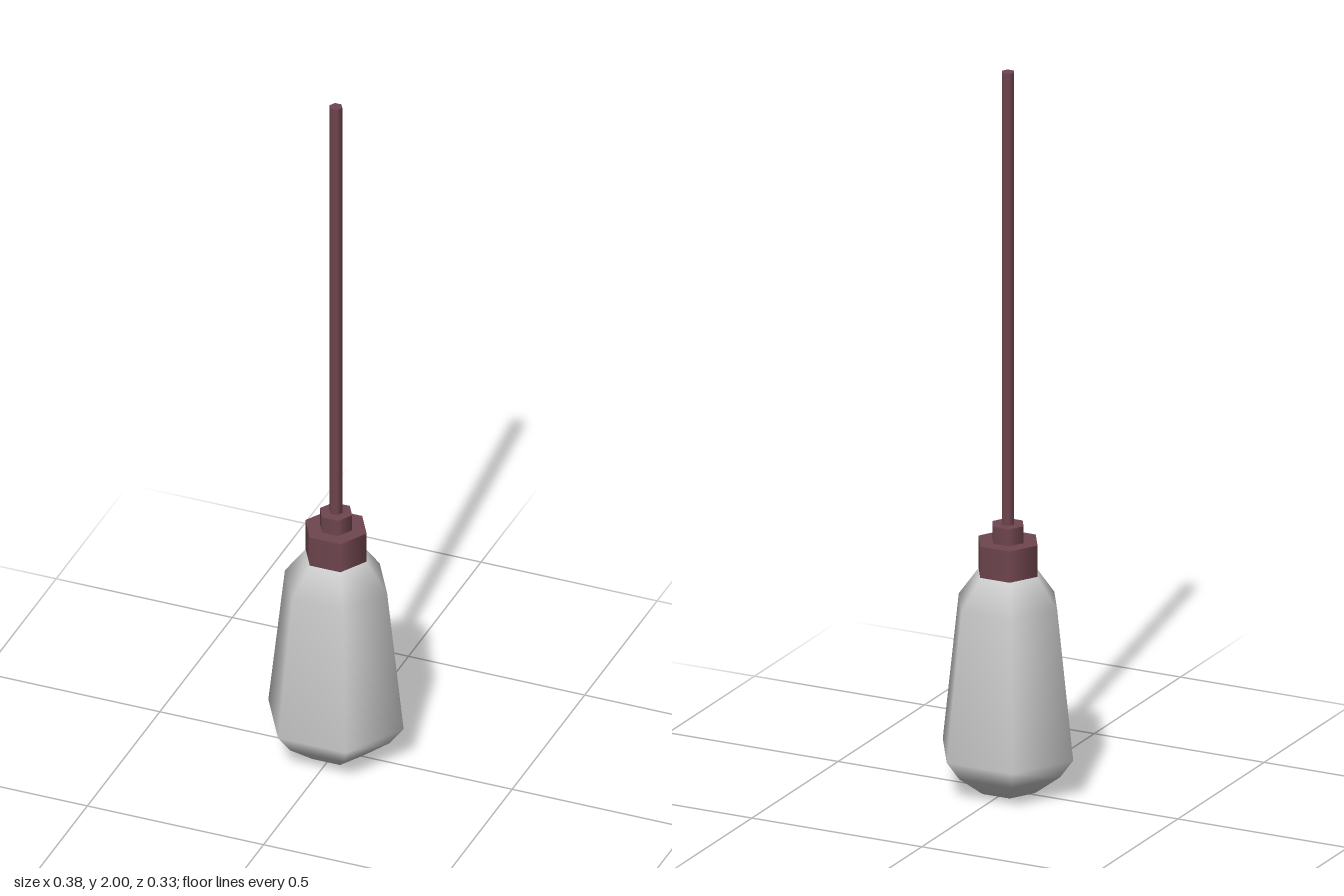
import * as THREE from 'three';

const SIDES = 6;

export function createModel() {
  const group = new THREE.Group();
  const glass = new THREE.MeshStandardMaterial({ color: 0xcccccc });
  const fitting = new THREE.MeshStandardMaterial({ color: 0x70464f });

  // Hexagonal prism standing between two heights, with a corner on +x
  function prism(name, radius, bottom, top) {
    const geometry = new THREE.CylinderGeometry(radius, radius, top - bottom, SIDES, 1, false, Math.PI / 2);
    const mesh = new THREE.Mesh(geometry, fitting);
    mesh.name = name;
    mesh.position.y = (bottom + top) / 2;
    group.add(mesh);
  }

  // Smooth-shaded six-sided bulb, from the bottom up
  const profile = [
    [0, 0], [0.08, 0.005], [0.153, 0.06], [0.192, 0.113],
    [0.145, 0.525], [0.083, 0.61], [0, 0.61],
  ].map(([r, y]) => new THREE.Vector2(r, y));
  const bulb = new THREE.Mesh(new THREE.LatheGeometry(profile, SIDES, Math.PI / 2), glass);
  bulb.name = 'bulb';
  group.add(bulb);

  // Socket, cord grip and hanging cord
  prism('socket', 0.087, 0.608, 0.695);
  prism('cordGrip', 0.046, 0.695, 0.742);
  prism('cord', 0.018, 0.742, 2);

  return group;
}
